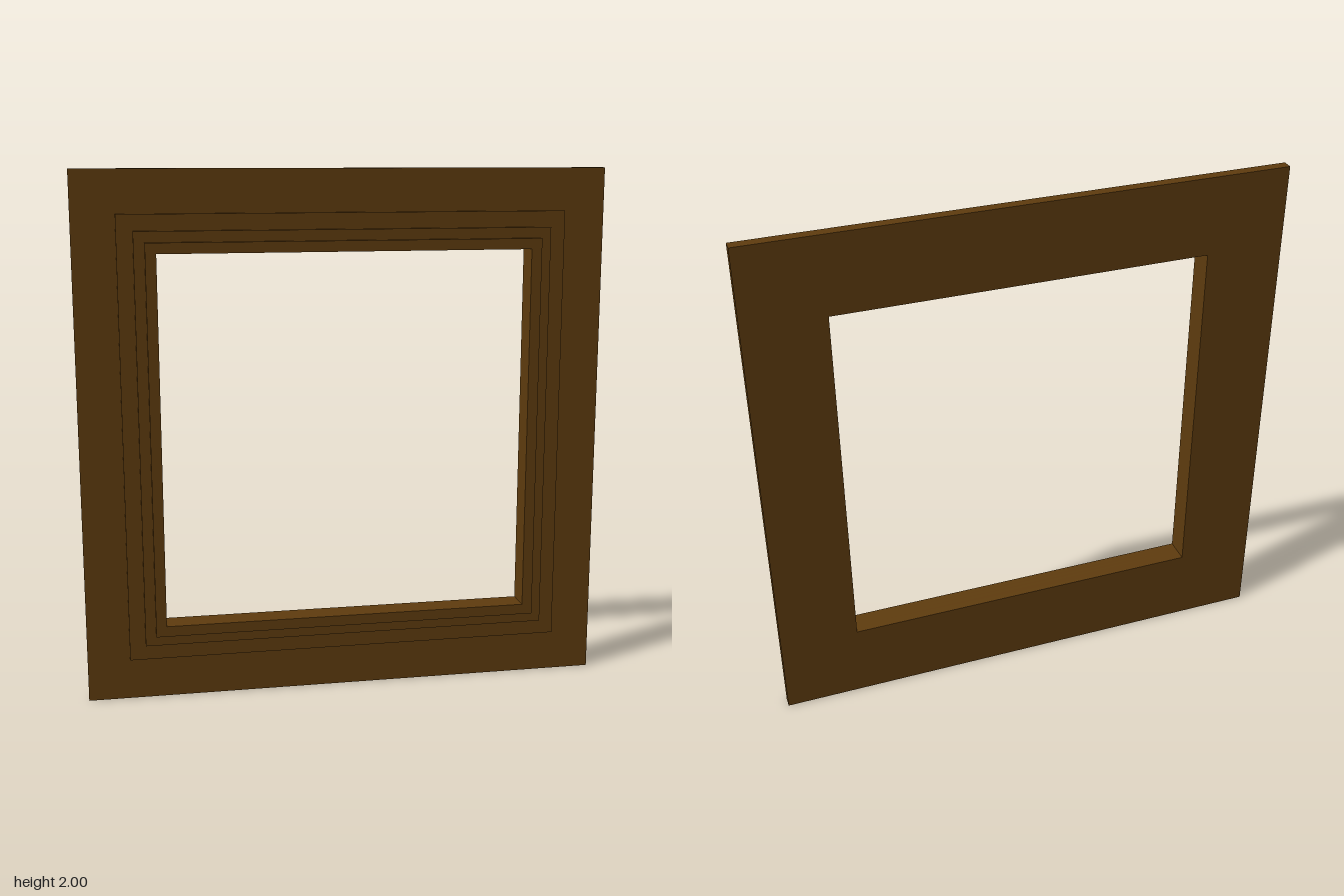
import * as THREE from 'three';

const OPENING = 0.7; // half width of the square opening

// Square outline centred on the origin
function square(PathType, half) {
  const path = new PathType();
  path.moveTo(-half, -half);
  path.lineTo(half, -half);
  path.lineTo(half, half);
  path.lineTo(-half, half);
  path.closePath();
  return path;
}

// Flat square ring from zBack to zFront
function makeRing(name, half, zBack, zFront, material) {
  const shape = square(THREE.Shape, half);
  shape.holes.push(square(THREE.Path, OPENING));
  const geometry = new THREE.ExtrudeGeometry(shape, { depth: zFront - zBack, bevelEnabled: false });
  const mesh = new THREE.Mesh(geometry, material);
  mesh.name = name;
  mesh.position.set(0, 1, zBack);
  return mesh;
}

export function createModel() {
  const model = new THREE.Group();
  model.name = 'steppedFrame';

  const wood = new THREE.MeshStandardMaterial({ color: 0x5f3c0e });
  wood.name = 'dark brown wood';

  // Wide back board, then three mouldings stepping in towards the opening
  const rings = [
    ['backBoard', 1.0, -0.05, -0.01],
    ['outerMoulding', 0.84, -0.01, 0.01],
    ['middleMoulding', 0.78, 0.01, 0.03],
    ['innerMoulding', 0.74, 0.03, 0.05],
  ];
  for (const [name, half, zBack, zFront] of rings) {
    model.add(makeRing(name, half, zBack, zFront, wood));
  }
  return model;
}
